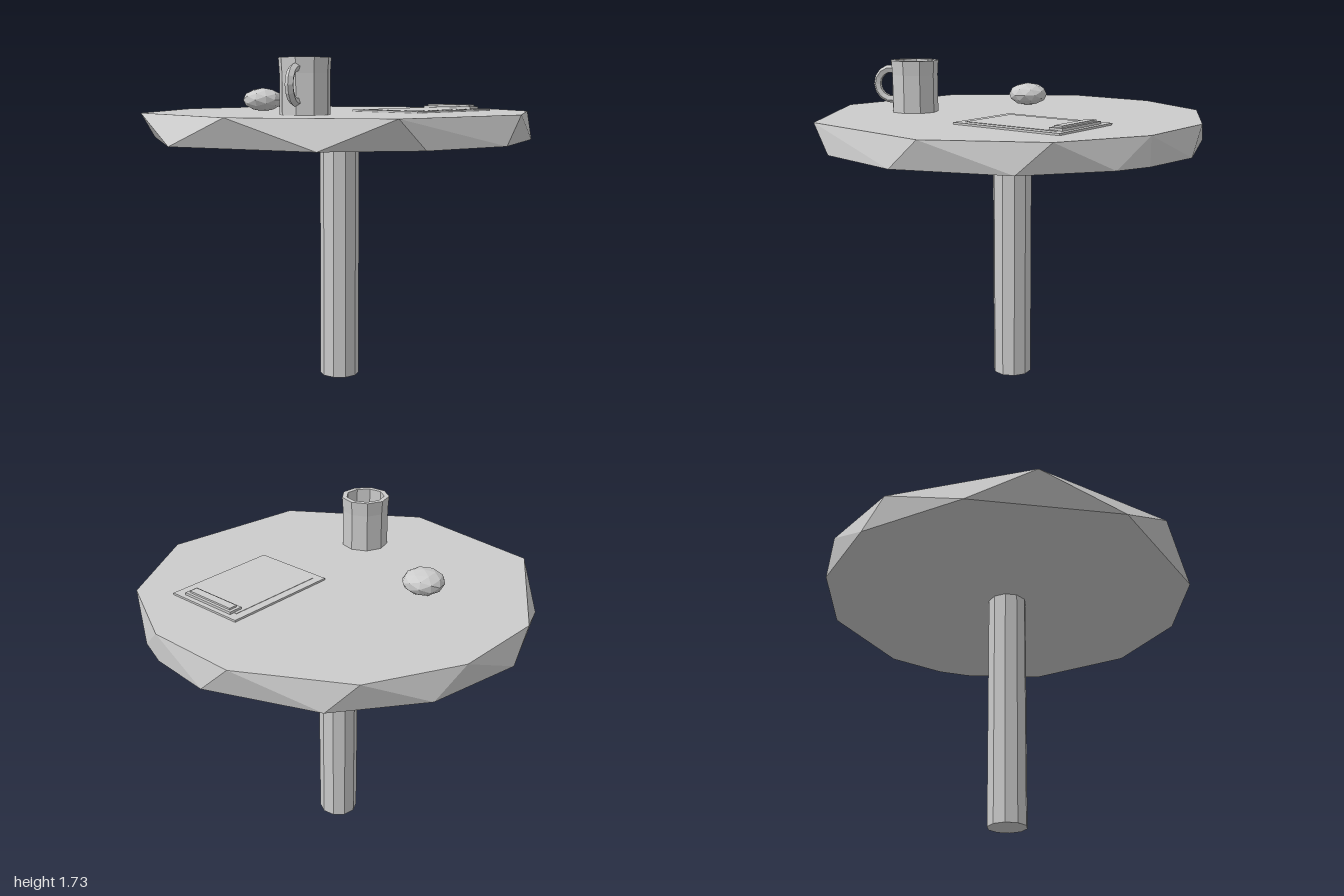
import * as THREE from 'three';
import { ConvexGeometry } from 'three/addons/geometries/ConvexGeometry.js';

const material = new THREE.MeshStandardMaterial({ color: 0xcccccc, flatShading: true });

function add(parent, name, geometry, x = 0, y = 0, z = 0) {
  const mesh = new THREE.Mesh(geometry, material);
  mesh.name = name;
  mesh.position.set(x, y, z);
  parent.add(mesh);
  return mesh;
}

export function createModel() {
  const table = new THREE.Group();
  table.name = 'table';
  const topY = 1.455, underY = 1.31;

  // Faceted table top: the upper and lower rims have staggered corners
  const upperRim = [[0.22, -1], [0.66, -0.78], [0.955, -0.38], [1, 0.22], [0.56, 0.89],
    [-0.22, 1], [-0.89, 0.56], [-1, -0.22], [-0.78, -0.66], [-0.37, -0.96]];
  const lowerRim = [[-0.22, -1], [0.37, -0.96], [0.66, -0.78], [0.79, -0.64], [1, -0.22],
    [0.955, 0.37], [0.66, 0.78], [0.22, 1], [-0.56, 0.89], [-1, 0.22], [-0.96, -0.37], [-0.66, -0.78]];
  const rim = (points, y) => points.map(([x, z]) => new THREE.Vector3(x, y, z));
  add(table, 'tableTop', new ConvexGeometry([...rim(upperRim, topY), ...rim(lowerRim, underY)]));

  // Central post
  add(table, 'post', new THREE.CylinderGeometry(0.106, 0.106, underY, 10), 0, underY / 2, 0);

  // Flattened ball
  add(table, 'ball', new THREE.IcosahedronGeometry(1, 1).scale(0.11, 0.064, 0.11), -0.445, 1.515, 0);

  // Mug: hollow body with a slightly wider lip, and a handle facing the front
  const mug = new THREE.Group();
  mug.name = 'mug';
  mug.position.set(0, topY, 0.54);
  table.add(mug);
  const profile = [[0, 0], [0.126, 0], [0.126, 0.2], [0.131, 0.275], [0.104, 0.275], [0.1, 0.03], [0, 0.03]];
  add(mug, 'mugBody', new THREE.LatheGeometry(profile.map(([r, y]) => new THREE.Vector2(r, y)), 9));
  const handle = new THREE.TorusGeometry(0.082, 0.022, 5, 8, Math.PI * 1.1);
  handle.rotateZ(-Math.PI * 0.55).rotateY(-Math.PI / 2);
  add(mug, 'mugHandle', handle, 0, 0.145, 0.127);

  // Clipboard turned on the table: board, sheet of paper and stepped clip
  const clipboard = new THREE.Group();
  clipboard.name = 'clipboard';
  clipboard.position.set(0.4125, topY, -0.1875);
  clipboard.rotation.y = -0.45;
  table.add(clipboard);
  add(clipboard, 'board', new THREE.BoxGeometry(0.45, 0.01, 0.633), 0, 0.005, 0);
  add(clipboard, 'paper', new THREE.BoxGeometry(0.36, 0.002, 0.54), 0, 0.011, 0.005);
  add(clipboard, 'clipBase', new THREE.BoxGeometry(0.325, 0.013, 0.075), 0, 0.0165, -0.253);
  add(clipboard, 'clipBar', new THREE.BoxGeometry(0.29, 0.009, 0.045), 0, 0.0275, -0.253);

  return table;
}
